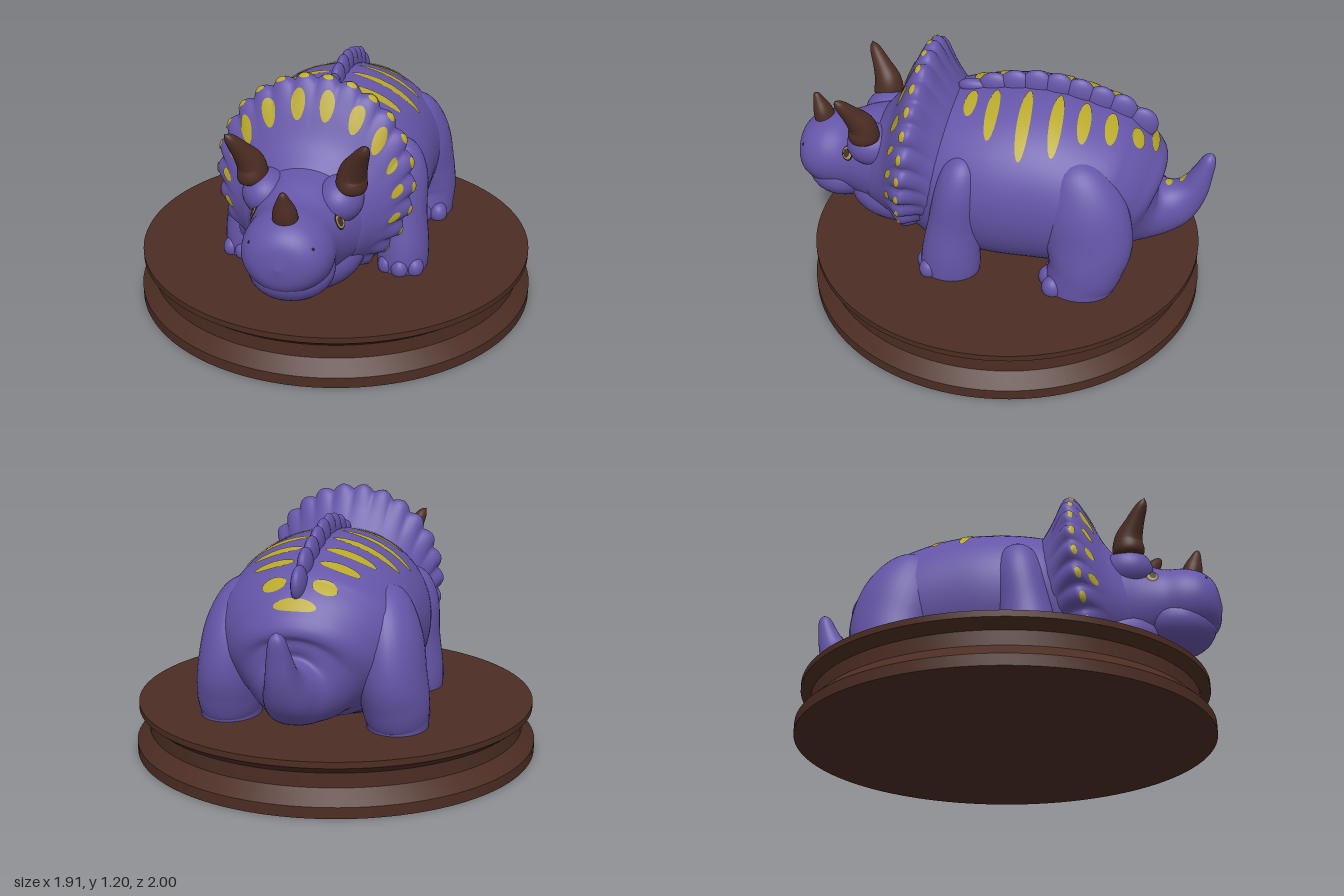
import * as THREE from 'three';
import { toCreasedNormals } from 'three/addons/utils/BufferGeometryUtils.js';

const mat = (name, color) => {
  const m = new THREE.MeshStandardMaterial({ color });
  m.name = name;
  return m;
};

// Surface swept through sections [x, y, z, rx, ry, scallopWeight]; angle 0 is the top
function sweep(sections, { boxy = 1, lean = 0, upright = false } = {}) {
  const line = (pts) => new THREE.CatmullRomCurve3(pts, false, 'catmullrom', 0.5);
  const centre = line(sections.map((s) => new THREE.Vector3(s[0], s[1], s[2])));
  const radii = line(sections.map((s) => new THREE.Vector3(s[3], s[4], s[5] || 0)));
  return (a, v) => {
    v = Math.min(1, Math.max(0, v));
    const p = centre.getPoint(v), r = radii.getPoint(v);
    const t = upright ? new THREE.Vector3(0, 0, 1) : centre.getTangent(v);
    const side = new THREE.Vector3(1, 0, 0).addScaledVector(t, -t.x).normalize();
    const up = t.clone().cross(side);
    const lobe = 1 + 0.06 * r.z * (Math.abs(Math.sin(13 * a)) - 0.6);
    let s = Math.sin(a);
    const c = Math.cos(a);
    if (c < 0) s = Math.sign(s) * Math.pow(Math.abs(s), boxy);
    p.addScaledVector(side, Math.max(0, r.x) * s * lobe).addScaledVector(up, Math.max(0, r.y) * c * lobe);
    p.z -= lean * (p.y - 0.72);
    return p;
  };
}

// Closed-around mesh of a swept surface
function skin(surface, around = 48, along = 40) {
  const pos = [], idx = [];
  for (let i = 0; i <= along; i++)
    for (let j = 0; j < around; j++) pos.push(...surface((j / around) * Math.PI * 2, i / along).toArray());
  for (let i = 0; i < along; i++)
    for (let j = 0; j < around; j++) {
      const k = (j + 1) % around, a = i * around + j, b = i * around + k;
      idx.push(a, a + around, b, b, a + around, b + around);
    }
  return build(pos, idx);
}

function build(pos, idx) {
  const g = new THREE.BufferGeometry();
  g.setAttribute('position', new THREE.Float32BufferAttribute(pos, 3));
  g.setIndex(idx);
  g.computeVertexNormals();
  return g;
}

// Re-addresses a surface by angle and z instead of angle and v
const byZ = (surface) => (a, z) => {
  let lo = 0, hi = 1;
  for (let i = 0; i < 24; i++) {
    const mid = (lo + hi) / 2;
    if (surface(a, mid).z < z) lo = mid; else hi = mid;
  }
  return surface(a, lo);
};

// Thin oval painted on a surface
function patch(surface, a0, w0, da, dw, lift = 0.004) {
  const pos = [], idx = [], rings = 6, n = 20;
  const put = (a, w) => {
    const p = surface(a, w), e = 0.004;
    const along = surface(a, w + e).sub(surface(a, w - e));
    const across = surface(a + e, w).sub(surface(a - e, w));
    pos.push(...p.addScaledVector(along.cross(across).normalize(), lift).toArray());
  };
  put(a0, w0);
  for (let r = 1; r <= rings; r++)
    for (let j = 0; j < n; j++) {
      const t = (j / n) * Math.PI * 2, k = r / rings;
      put(a0 + da * k * Math.cos(t), w0 + dw * k * Math.sin(t));
    }
  for (let j = 0; j < n; j++) {
    const k = (j + 1) % n;
    idx.push(0, 1 + k, 1 + j);
    for (let r = 0; r < rings - 1; r++) {
      const a = 1 + r * n + j, b = 1 + r * n + k;
      idx.push(a, b, a + n, b, b + n, a + n);
    }
  }
  return build(pos, idx);
}

export function createModel() {
  const model = new THREE.Group();
  model.name = 'hornedDinosaurOnPlinth';
  const purple = mat('purple skin', 0x6555a8), yellow = mat('yellow markings', 0xb8a82a);
  const brown = mat('dark brown', 0x4c2d23), black = mat('eye black', 0x1c1418), eyeTone = mat('eye olive', 0x9a9258);
  const add = (name, geo, material) => {
    const m = new THREE.Mesh(geo, material);
    m.name = name;
    model.add(m);
    return m;
  };
  const blob = (name, x, y, z, rx, ry, rz) => {
    const m = add(name, new THREE.SphereGeometry(1, 28, 20), purple);
    m.position.set(x, y, z);
    m.scale.set(rx, ry, rz);
    return m;
  };

  // Plinth
  const profile = [[0, 0], [0.955, 0], [0.955, 0.05], [0.895, 0.11], [0.895, 0.175], [0.94, 0.212], [0.94, 0.24], [0, 0.24]];
  const plinth = new THREE.LatheGeometry(profile.map((p) => new THREE.Vector2(...p)), 96);
  add('plinth', toCreasedNormals(plinth, 0.5), brown).position.z = -0.025;

  // Body and tail, from tail tip to neck
  const body = sweep([
    [0, 0.775, -0.975, 0, 0], [0, 0.745, -0.968, 0.032, 0.03], [0, 0.67, -0.945, 0.05, 0.048],
    [0, 0.57, -0.905, 0.07, 0.075], [0, 0.5, -0.84, 0.1, 0.115], [0, 0.47, -0.76, 0.14, 0.15],
    [0, 0.485, -0.68, 0.23, 0.215], [0, 0.53, -0.6, 0.34, 0.3], [0, 0.575, -0.5, 0.42, 0.36],
    [0, 0.605, -0.4, 0.455, 0.385], [0, 0.63, -0.2, 0.46, 0.41], [0, 0.625, 0, 0.455, 0.405],
    [0, 0.605, 0.2, 0.41, 0.385], [0, 0.6, 0.3, 0.36, 0.36], [0, 0.6, 0.42, 0.28, 0.3],
  ], { boxy: 0.75 });
  add('bodyAndTail', skin(body, 72, 90), purple);
  const bodyZ = byZ(body);

  // Bumpy ridge along the spine
  for (let i = 0; i < 9; i++) {
    const z = 0.13 - i * 0.097, p = bodyZ(0, z);
    blob('spineBump', 0, p.y, z, 0.032, 0.035 + 0.045 * Math.sqrt(Math.min(1, i / 3)), 0.075);
  }

  // Back stripes: [z, inner x, outer x]
  for (const [z, x0, x1] of [[0.12, 0.05, 0.21], [0.01, 0.05, 0.31], [-0.14, 0.05, 0.37], [-0.28, 0.05, 0.345],
    [-0.4, 0.05, 0.27], [-0.52, 0.05, 0.215], [-0.64, 0.04, 0.12]])
    for (const s of [-1, 1]) {
      const rx = z < -0.6 ? 0.3 : z < -0.5 ? 0.41 : 0.45;
      const a = Math.asin(x0 / rx), b = Math.asin(x1 / rx);
      add('backStripe', patch(bodyZ, (s * (a + b)) / 2, z, (b - a) / 2, 0.029), yellow);
    }
  for (const [z, da] of [[-0.715, 0.26], [-0.795, 0.3], [-0.86, 0.3]])
    add('tailSpot', patch(bodyZ, 0, z, da, 0.018), yellow);

  // Head, jaw
  const head = sweep([
    [0, 0.6, 0.3, 0.3, 0.33], [0, 0.6, 0.45, 0.29, 0.28], [0, 0.6, 0.55, 0.27, 0.25], [0, 0.6, 0.65, 0.225, 0.228],
    [0, 0.6, 0.75, 0.195, 0.19], [0, 0.6, 0.85, 0.195, 0.18], [0, 0.6, 0.93, 0.168, 0.148],
    [0, 0.595, 0.98, 0.105, 0.095], [0, 0.59, 1, 0, 0],
  ], { upright: true });
  add('head', skin(head, 56, 56), purple);
  blob('lowerJaw', 0, 0.495, 0.785, 0.185, 0.128, 0.18);
  blob('throat', 0, 0.44, 0.48, 0.25, 0.17, 0.28);
  const headZ = byZ(head);

  // Scalloped neck frill, from back to front
  const frill = sweep([
    [0, 0.6, 0.14, 0.3, 0.3, 0], [0, 0.63, 0.22, 0.36, 0.36, 0], [0, 0.69, 0.29, 0.39, 0.39, 0.3],
    [0, 0.73, 0.35, 0.427, 0.44, 0.9], [0, 0.735, 0.385, 0.44, 0.453, 1], [0, 0.73, 0.42, 0.422, 0.435, 0.8],
    [0, 0.7, 0.46, 0.375, 0.375, 0.2], [0, 0.64, 0.51, 0.31, 0.3, 0], [0, 0.6, 0.58, 0.25, 0.24, 0],
  ], { lean: 0.11, upright: true });
  add('frill', skin(frill, 208, 56), purple);
  for (const s of [-1, 1]) {
    for (let k = 0; k < 11; k++)
      add('frillRimSpot', patch(frill, (s * (k + 0.5) * Math.PI) / 13, 0.55, 0.055, 0.045), yellow);
    for (const a of [0.17, 0.53, 0.88, 1.2, 1.5, 1.82])
      add('frillSpot', patch(frill, s * a, 0.73, a < 1 ? 0.085 : 0.06, a < 1 ? 0.07 : 0.05), yellow);
  }

  // Nose horn
  const noseHorn = sweep([[0, 0.74, 0.865, 0.056, 0.05], [0, 0.8, 0.88, 0.05, 0.045], [0, 0.85, 0.895, 0.03, 0.028],
    [0, 0.885, 0.905, 0.014, 0.014], [0, 0.895, 0.907, 0, 0]]);
  add('noseHorn', skin(noseHorn, 24, 20), brown);

  for (const s of [-1, 1]) {
    const side = s > 0 ? 'left' : 'right';
    const limb = (name, sections, material) =>
      add(side + name, skin(sweep(sections.map(([x, ...rest]) => [s * x, ...rest])), 36, 32), material);

    // Brow and brow horn
    blob(side + 'Brow', s * 0.16, 0.74, 0.59, 0.105, 0.1, 0.12);
    limb('BrowHorn', [[0.215, 0.8, 0.61, 0, 0], [0.215, 0.8, 0.61, 0.062, 0.068], [0.22, 0.87, 0.612, 0.062, 0.066],
      [0.252, 0.945, 0.65, 0.043, 0.043], [0.285, 1.01, 0.69, 0.024, 0.024], [0.302, 1.035, 0.705, 0, 0]], brown);

    // Eye and nostril
    add(side + 'EyeRim', patch(headZ, s * 1.12, 0.705, 0.18, 0.03, 0.003), black);
    add(side + 'EyeBall', patch(headZ, s * 1.12, 0.705, 0.145, 0.024, 0.006), eyeTone);
    add(side + 'Iris', patch(headZ, s * 1.12, 0.709, 0.1, 0.016, 0.009), brown);
    add(side + 'Nostril', patch(headZ, s * 0.98, 0.942, 0.05, 0.005), black);

    // Legs
    limb('FrontLeg', [[0.28, 0.84, 0.11, 0, 0], [0.31, 0.79, 0.115, 0.09, 0.08], [0.35, 0.68, 0.13, 0.115, 0.11],
      [0.365, 0.5, 0.155, 0.108, 0.12], [0.37, 0.36, 0.17, 0.118, 0.135], [0.37, 0.28, 0.175, 0.12, 0.14],
      [0.37, 0.22, 0.18, 0.115, 0.135]], purple);
    limb('HindLeg', [[0.26, 0.86, -0.36, 0, 0], [0.29, 0.8, -0.38, 0.11, 0.12], [0.34, 0.65, -0.43, 0.145, 0.19],
      [0.365, 0.48, -0.465, 0.15, 0.2], [0.38, 0.36, -0.46, 0.15, 0.175], [0.385, 0.28, -0.44, 0.14, 0.16],
      [0.385, 0.22, -0.435, 0.135, 0.16]], purple);

    // Toes
    for (const t of [-1, 0, 1]) {
      blob(side + 'FrontToe', s * (0.375 + t * 0.065), 0.265, 0.29 - Math.abs(t) * 0.025, 0.042, 0.05, 0.045);
      blob(side + 'HindToe', s * (0.39 + t * 0.075), 0.265, -0.295 - Math.abs(t) * 0.025, 0.046, 0.055, 0.05);
    }
  }
  return model;
}
